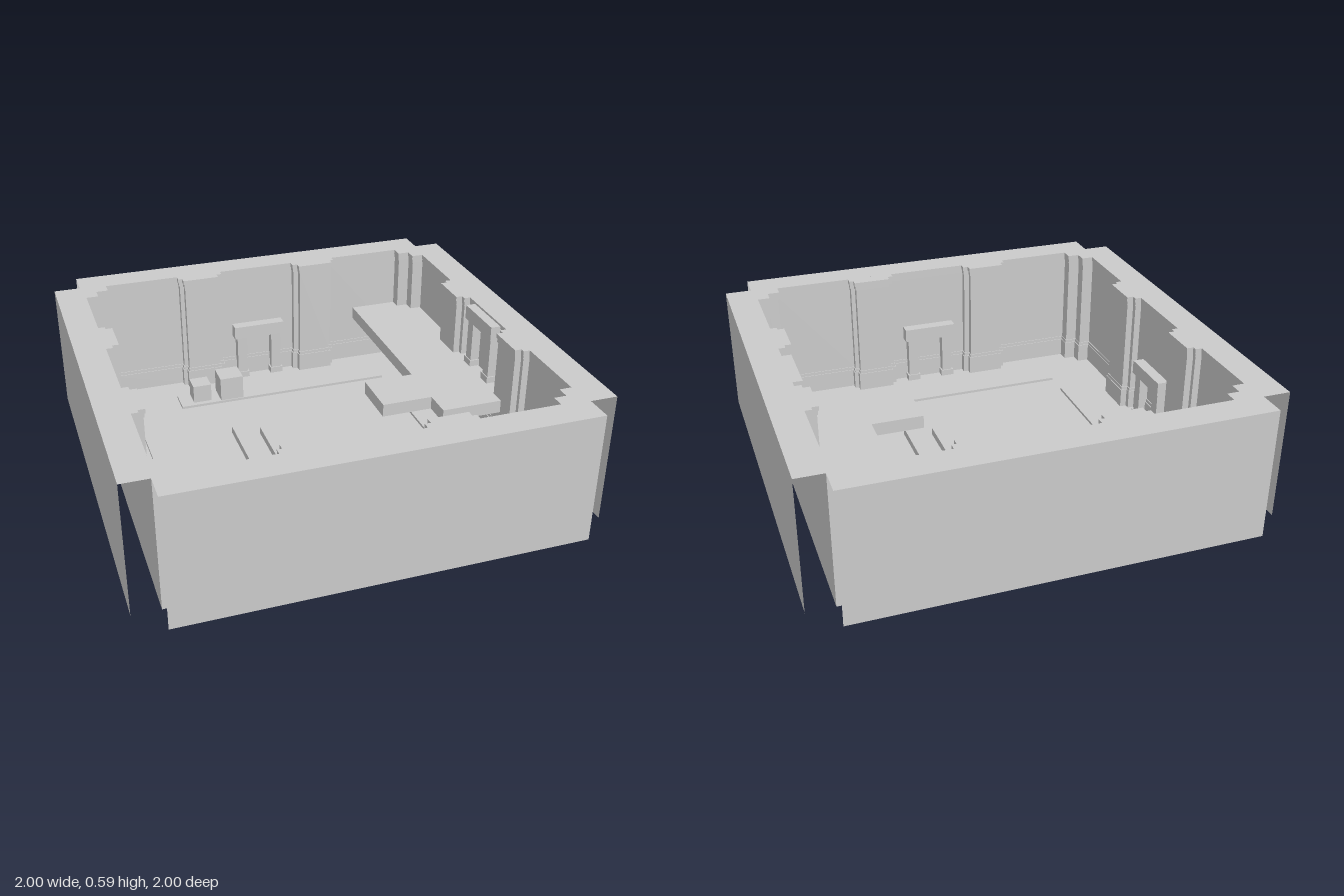
import * as THREE from 'three';

const H = 0.59, OUT = 0.88;
const mat = new THREE.MeshStandardMaterial({ color: 0xcccccc, flatShading: true });
const sheetMat = new THREE.MeshStandardMaterial({ color: 0xcccccc, flatShading: true, side: THREE.DoubleSide });

function add(parent, name, geo, material = mat) {
  const mesh = new THREE.Mesh(geo, material);
  mesh.name = name;
  parent.add(mesh);
  return mesh;
}

// box given by its min and max corners
function box(parent, name, x0, x1, y0, y1, z0, z1) {
  const m = add(parent, name, new THREE.BoxGeometry(x1 - x0, y1 - y0, z1 - z0));
  m.position.set((x0 + x1) / 2, (y0 + y1) / 2, (z0 + z1) / 2);
  return m;
}

function square(r, Kind = THREE.Shape) {
  return new Kind([[-r, -r], [r, -r], [r, r], [-r, r]].map(p => new THREE.Vector2(...p)));
}

// inner outline of the room with pilasters and corner piers, widened by d
function roomOutline(d) {
  const half = [
    [0.185 + d, 0.865 + d], [0.185 + d, 0.835 + d], [0.21 + d, 0.835 + d], [0.21 + d, 0.805 + d],
    [0.385 - d, 0.805 + d], [0.385 - d, 0.835 + d], [0.405 - d, 0.835 + d], [0.405 - d, 0.865 + d],
    [0.755 + d, 0.865 + d], [0.755 + d, 0.81 + d],
  ];
  const side = [[-0.81 - d, 0.81 + d], ...half.map(([t, w]) => [-t, w]).reverse(), ...half];
  const pts = [];
  for (let k = 0; k < 4; k++) {
    for (const [t, w] of side) {
      pts.push(new THREE.Vector2(t, w).rotateAround(new THREE.Vector2(), -k * Math.PI / 2));
    }
  }
  return new THREE.Path(pts);
}

function wallLayer(parent, name, y0, y1, d) {
  const shape = square(OUT);
  shape.holes.push(roomOutline(d));
  const geo = new THREE.ExtrudeGeometry(shape, { depth: y1 - y0, bevelEnabled: false });
  geo.rotateX(-Math.PI / 2);
  add(parent, name, geo).position.y = y0;
}

export function createModel() {
  const root = new THREE.Group();
  root.name = 'room';

  // walls: skirting, recessed panels and top trim
  const walls = new THREE.Group();
  walls.name = 'walls';
  root.add(walls);
  wallLayer(walls, 'skirting', 0, 0.09, 0);
  wallLayer(walls, 'skirtingLip', 0.09, 0.105, 0.004);
  wallLayer(walls, 'wallPanels', 0.105, 0.55, 0.008);
  wallLayer(walls, 'trimLip', 0.55, 0.57, 0.004);
  wallLayer(walls, 'topTrim', 0.57, H, 0);

  // outer shell: open sheets hanging from a flat rim on each side
  for (let k = 0; k < 4; k++) {
    const side = new THREE.Group();
    side.name = 'outerShell';
    side.rotation.y = k * Math.PI / 2;
    root.add(side);
    add(side, 'outerSheet', new THREE.PlaneGeometry(2 * OUT, H), sheetMat).position.set(0, H / 2, 1);
    const rim = add(side, 'rim', new THREE.PlaneGeometry(2 * OUT, 1 - OUT).rotateX(-Math.PI / 2), sheetMat);
    rim.position.set(0, H, (1 + OUT) / 2);
  }

  // floor with a raised centre that is hollow below
  const floorShape = square(OUT);
  floorShape.holes.push(square(0.295, THREE.Path));
  add(root, 'floor', new THREE.ShapeGeometry(floorShape).rotateX(-Math.PI / 2), sheetMat);
  const step = 0.035;
  const riser = new THREE.CylinderGeometry(0.295 * Math.SQRT2, 0.295 * Math.SQRT2, step, 4, 1, true);
  add(root, 'daisRiser', riser.rotateY(Math.PI / 4), sheetMat).position.y = step / 2;
  add(root, 'daisTop', new THREE.PlaneGeometry(0.59, 0.59).rotateX(-Math.PI / 2), sheetMat).position.y = step;
  box(root, 'daisUpperStep', -0.185, 0.185, step, 2 * step, -0.185, 0.185);

  // low floor strips laid like a pinwheel
  for (let k = 0; k < 4; k++) {
    const strip = new THREE.Group();
    strip.name = 'floorStrip';
    strip.rotation.y = k * Math.PI / 2;
    root.add(strip);
    box(strip, 'strip', -0.595, 0.47, 0, 0.012, 0.59, 0.705);
  }

  // raised gallery with a bridge towards the centre
  const y0 = 0.23, y1 = 0.29;
  box(root, 'gallery', 0.53, 0.87, y0, y1, -0.87, 0.29);
  box(root, 'bridge', 0.295, 0.53, y0, y1, -0.07, 0.16);

  // doorways: lintel on two posts, the left one standing on the gallery
  for (let k = 0; k < 4; k++) {
    const door = new THREE.Group();
    door.name = 'doorway';
    door.rotation.y = k * Math.PI / 2;
    door.position.y = k === 1 ? y1 : 0;
    root.add(door);
    box(door, 'lintel', -0.13, 0.13, 0.225, 0.29, 0.82, 0.884);
    for (const s of [-1, 1]) {
      box(door, 'doorPost', s * 0.09 - 0.025, s * 0.09 + 0.025, 0, 0.225, 0.83, 0.875);
      box(door, 'postFoot', s * 0.09 - 0.032, s * 0.09 + 0.032, 0, 0.03, 0.824, 0.875);
    }
  }

  // crates
  box(root, 'smallCrate', -0.405, -0.315, 0, 0.1, -0.705, -0.615);
  box(root, 'largeCrate', -0.27, -0.155, 0, 0.13, -0.71, -0.595);
  return root;
}
